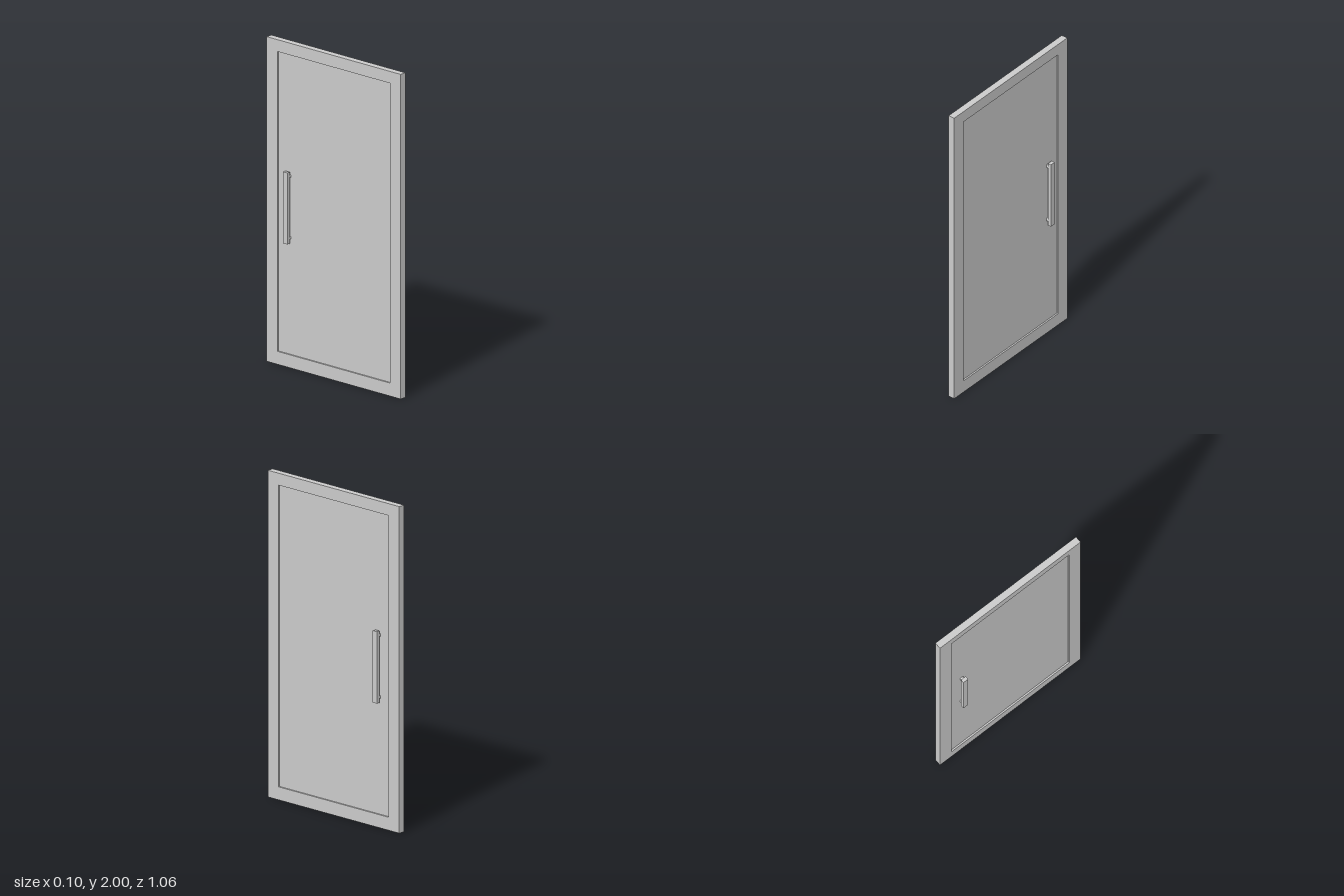
import * as THREE from 'three';

const material = new THREE.MeshStandardMaterial({ color: 0xcccccc });

function addMesh(parent, name, geometry, x, y, z) {
  const mesh = new THREE.Mesh(geometry, material);
  mesh.name = name;
  mesh.position.set(x, y, z);
  parent.add(mesh);
  return mesh;
}

function rectangle(Type, x0, y0, x1, y1) {
  return new Type([[x0, y0], [x1, y0], [x1, y1], [x0, y1]].map(([x, y]) => new THREE.Vector2(x, y)));
}

export function createModel() {
  const door = new THREE.Group();
  door.name = 'door';
  const midX = -0.001, thickness = 0.042, panelThickness = 0.022;

  // Frame: outline with a rectangular opening, extruded along x (shape x = -z)
  const outline = rectangle(THREE.Shape, -0.528, 0, 0.528, 2);
  outline.holes.push(rectangle(THREE.Path, -0.443, 0.08, 0.443, 1.927));
  const frame = new THREE.ExtrudeGeometry(outline, { depth: thickness, bevelEnabled: false });
  frame.translate(0, 0, -thickness / 2).rotateY(Math.PI / 2);
  addMesh(door, 'frame', frame, midX, 0, 0);

  // Recessed panel
  addMesh(door, 'panel', new THREE.BoxGeometry(panelThickness, 1.847, 0.886), midX, 1.0035, 0);

  // Pull handle on each face: square bar on two round posts
  for (const side of [1, -1]) {
    const handle = new THREE.Group();
    handle.name = side > 0 ? 'leftHandle' : 'rightHandle';
    handle.position.set(midX, 0.988, -0.357);
    addMesh(handle, 'bar', new THREE.BoxGeometry(0.023, 0.44, 0.035), side * 0.0375, 0, 0);
    for (const end of [1, -1]) {
      const post = new THREE.CylinderGeometry(0.013, 0.013, 0.02, 24).rotateZ(Math.PI / 2);
      addMesh(handle, 'post', post, side * 0.019, end * 0.19, 0);
    }
    door.add(handle);
  }
  return door;
}
